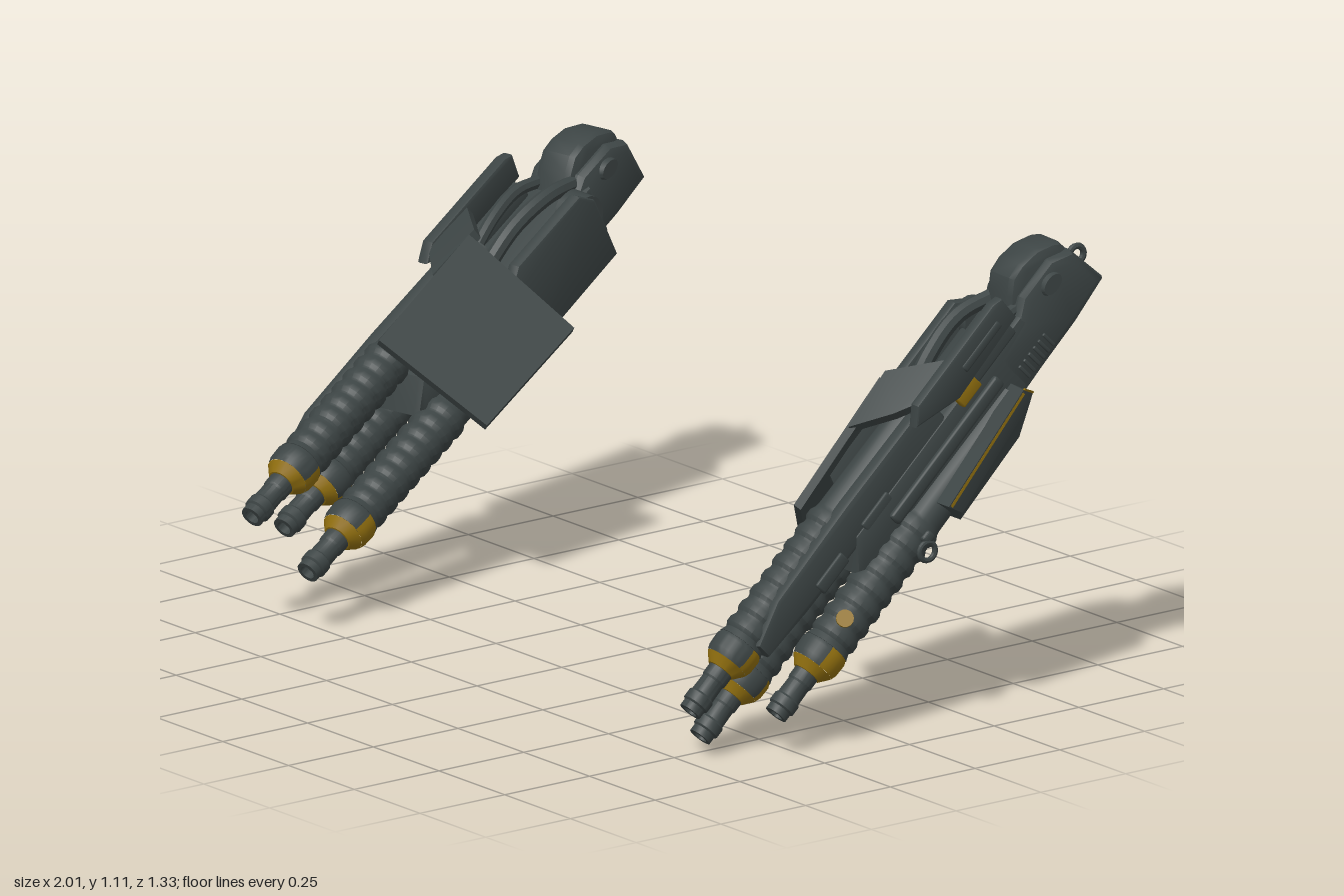
import * as THREE from 'three';
import { toCreasedNormals } from 'three/addons/utils/BufferGeometryUtils.js';
import { RoundedBoxGeometry } from 'three/addons/geometries/RoundedBoxGeometry.js';
import { ConvexGeometry } from 'three/addons/geometries/ConvexGeometry.js';

const mat = (name, color) => {
  const m = new THREE.MeshStandardMaterial({ color });
  m.name = name;
  return m;
};

// Geometry helpers; local axes: x outward, y up, z towards the muzzle
const lathe = (pts, x, y, z, phi = 0, arc = Math.PI * 2) =>
  new THREE.LatheGeometry(pts.map(([r, h]) => new THREE.Vector2(r, h)), 18, phi, arc)
    .rotateX(Math.PI / 2).translate(x, y, z);
const hull = (pts) => new ConvexGeometry(pts.map((p) => new THREE.Vector3(...p)));
const box = (w, h, d, x, y, z, r = 0.008) => new RoundedBoxGeometry(w, h, d, 2, r).translate(x, y, z);
const slab = (pts, t) => hull([...pts, ...pts.map(([x, y, z]) => [x + t[0], y + t[1], z + t[2]])]);
const sideProfile = (pts, x0, x1, b) => {
  const shape = new THREE.Shape(pts.map(([z, y]) => new THREE.Vector2(z, y)));
  const g = new THREE.ExtrudeGeometry(shape, {
    depth: x1 - x0 - 2 * b, bevelEnabled: true, bevelSize: b, bevelThickness: b, bevelOffset: -b, bevelSegments: 2,
  });
  return g.rotateY(-Math.PI / 2).translate(x1 - b, 0, 0);
};
const tube = (pts, r) =>
  new THREE.TubeGeometry(new THREE.CatmullRomCurve3(pts.map((p) => new THREE.Vector3(...p))), 20, r, 8);
const ring = (radius, r, x, y, z) => new THREE.TorusGeometry(radius, r, 8, 18).rotateY(Math.PI / 2).translate(x, y, z);

// Mirror across x and restore the face winding
function mirrorX(g) {
  g.scale(-1, 1, 1);
  for (const key of ['position', 'normal']) {
    const a = g.attributes[key].array;
    for (let i = 0; i < a.length; i += 9)
      for (let k = 0; k < 3; k++) [a[i + 3 + k], a[i + 6 + k]] = [a[i + 6 + k], a[i + 3 + k]];
  }
  return g;
}

function makeWeapon(side, metal, gold) {
  const group = new THREE.Group();
  const add = (name, geo, m = metal) => {
    const g = toCreasedNormals(geo, 0.6);
    g.deleteAttribute('uv');
    const mesh = new THREE.Mesh(side < 0 ? mirrorX(g) : g, m);
    mesh.name = name;
    group.add(mesh);
  };

  // Three ribbed barrels: gold nose and lower collar, metal upper collar, stepped muzzle.
  // The last number turns the gold half of the collar around the barrel axis.
  const barrels = [['topBarrel', 0, 0, 0, 0], ['innerBarrel', -0.11, -0.148, 0, -0.4], ['outerBarrel', 0.06, -0.16, -0.125, 0.4]];
  for (const [name, x, y, z, turn] of barrels) {
    const ribs = [[0.001, -0.95], [0.046, -0.94], [0.05, -0.58]];
    for (let i = 0; i < 8; i++) {
      const h = -0.57 + i * 0.045;
      ribs.push([0.052, h], [0.058, h + 0.012], [0.058, h + 0.028], [0.052, h + 0.038]);
    }
    ribs.push([0.058, -0.2], [0.001, -0.195]);
    add(name, lathe(ribs, x, y, z));
    const collar = [[0.056, -0.2], [0.06, -0.19], [0.059, -0.16], [0.054, -0.145]];
    add(name + 'LowerCollar', lathe(collar, x, y, z, turn - Math.PI / 2, Math.PI), gold);
    add(name + 'UpperCollar', lathe(collar, x, y, z, turn + Math.PI / 2, Math.PI));
    add(name + 'Nose', lathe([[0.054, -0.145], [0.035, -0.122], [0.001, -0.12]], x, y, z), gold);
    add(name + 'Muzzle', lathe([[0.001, -0.13], [0.031, -0.13], [0.031, -0.095], [0.028, -0.09], [0.029, -0.05],
      [0.033, -0.045], [0.033, -0.022], [0.028, -0.018], [0.028, 0], [0.018, 0], [0.018, -0.02], [0.001, -0.02]], x, y, z));
  }
  add('outerBarrelDot', new THREE.CylinderGeometry(0.021, 0.021, 0.009, 14).rotateZ(Math.PI / 2 - 5.6)
    .translate(0.06 + 0.045, -0.16 + 0.039, -0.395), gold);

  // Smooth shroud along the outer side of the top barrel
  add('topBarrelShroud', sideProfile([[-0.21, -0.045], [-0.21, 0.0], [-0.32, 0.035], [-0.6, 0.04], [-0.92, 0.035],
    [-0.92, -0.07], [-0.55, -0.06], [-0.35, -0.055]], 0.02, 0.067, 0.012));
  for (const z of [-0.46, -0.64])
    add('shroudClip', box(0.016, 0.035, 0.1, 0.066, -0.04, z, 0.005));

  // Central spine that ties the barrels to the rear housing
  add('spine', sideProfile([[-0.5, -0.1], [-0.56, -0.03], [-1.25, -0.03], [-1.25, -0.17], [-0.72, -0.19], [-0.58, -0.16]], -0.1, 0.075, 0.018));
  add('spineSideRail', box(0.02, 0.035, 0.42, 0.078, -0.085, -0.86));

  // Rear housing: wide lower body, narrower rounded crown
  add('rearHousing', sideProfile([[-1.425, -0.16], [-1.415, -0.04], [-1.36, -0.005], [-1.25, -0.005], [-1.2, -0.035],
    [-1.09, -0.05], [-1.09, -0.175], [-1.3, -0.172]], -0.09, 0.078, 0.024));
  add('housingCrown', sideProfile([[-1.42, -0.12], [-1.415, -0.015], [-1.4, 0.002], [-1.36, 0.026], [-1.31, 0.036],
    [-1.27, 0.032], [-1.235, 0.005], [-1.2, -0.03], [-1.2, -0.12]], -0.06, 0.05, 0.02));
  for (const s of [-1, 1]) {
    add('housingPivot', new THREE.CylinderGeometry(0.024, 0.028, 0.014, 18).rotateZ(-s * Math.PI / 2)
      .scale(1, 0.8, 1.2).translate(s > 0 ? 0.08 : -0.092, -0.04, -1.32));
    for (let i = 0; i < 6; i++)
      add('grillRib', box(0.012, 0.045, 0.009, s > 0 ? 0.077 : -0.09, -0.13, -1.125 - i * 0.019, 0.003));
  }
  add('innerDrum', new THREE.CylinderGeometry(0.05, 0.056, 0.06, 20).rotateZ(Math.PI / 2).translate(-0.1, -0.06, -1.18));
  add('rearRing', ring(0.02, 0.008, 0, -0.105, -1.432));
  add('slingRing', ring(0.022, 0.007, 0.12, -0.185, -0.645));
  add('slingRingMount', box(0.06, 0.03, 0.03, 0.095, -0.165, -0.67));

  // Smooth fairing on the lower outer flank, with thin gold seams tucked under its edge
  add('lowerFairing', hull([
    [0.13, -0.122, -1.08], [0.148, -0.138, -0.75], [0.122, -0.165, -1.07], [0.14, -0.185, -0.765],
    [0.09, -0.178, -1.1], [0.1, -0.215, -1.0], [0.1, -0.222, -0.76],
    [-0.06, -0.12, -1.09], [-0.07, -0.12, -0.74], [-0.05, -0.19, -1.05], [-0.05, -0.205, -0.75],
  ]));
  add('fairingSideSeam', slab([[0.13, -0.125, -1.075], [0.148, -0.141, -0.755], [0.1475, -0.149, -0.755], [0.1295, -0.133, -1.075]], [-0.006, 0, 0]), gold);
  add('fairingRearSeam', slab([[0.128, -0.126, -1.078], [0.128, -0.126, -1.086], [0.09, -0.179, -1.105], [0.09, -0.179, -1.096]], [-0.007, 0, 0]), gold);

  // Large slanted shield on the inner side with its arm and mount
  add('innerShield', slab([[-0.04, 0.11, -0.9], [-0.03, 0.095, -0.535], [-0.256, -0.132, -0.55], [-0.27, -0.124, -0.895]], [0.012, -0.016, 0]));
  add('shieldArm', slab([[-0.04, 0.108, -0.92], [-0.03, 0.103, -0.76], [0.05, 0.08, -0.84], [0.098, 0.055, -0.92], [0.098, 0.055, -1.04]], [-0.01, -0.025, 0]));
  add('shieldMount', hull([[-0.08, 0.03, -0.86], [-0.08, 0.03, -0.66], [-0.17, -0.055, -0.66], [-0.17, -0.055, -0.86],
    [-0.06, -0.03, -0.92], [-0.06, -0.03, -0.63], [-0.08, -0.11, -0.63], [-0.08, -0.11, -0.92]]));

  // Upright outer cheek panel with a recessed rail and a gold block tucked beneath
  add('outerCheekPanel', sideProfile([[-1.2, 0], [-1.205, 0.065], [-1.18, 0.074], [-0.88, 0.074], [-0.84, 0.04], [-0.965, -0.01]], 0.071, 0.103, 0.006));
  add('outerCheekRib', box(0.012, 0.022, 0.14, 0.1, 0.03, -1.09, 0.005));
  add('outerCheekFoot', box(0.04, 0.05, 0.2, 0.061, -0.02, -1.08));
  add('outerCheekBlock', box(0.022, 0.04, 0.07, 0.078, -0.028, -0.995, 0.004), gold);

  // Deeper inner cheek panel with a gold block on its underside
  add('innerCheekPanel', sideProfile([[-1.21, -0.2], [-1.21, -0.03], [-1.17, 0.015], [-0.92, 0.015], [-0.85, -0.04], [-0.84, -0.17], [-0.88, -0.205]], -0.14, -0.105, 0.008));
  add('innerCheekFoot', box(0.05, 0.1, 0.26, -0.09, -0.1, -1.03));
  add('innerCheekBlock', box(0.04, 0.03, 0.075, -0.09, -0.185, -1.0, 0.005), gold);

  // Hoses in the open top bay
  add('innerHose', tube([[-0.05, -0.03, -1.25], [-0.06, 0.02, -1.14], [-0.05, 0.025, -1.02], [-0.04, -0.01, -0.88]], 0.02));
  add('outerHose', tube([[0.04, -0.03, -1.23], [0.045, 0.005, -1.15], [0.035, 0.015, -1.05], [0.02, -0.01, -0.9]], 0.016));
  return group;
}

// Place a weapon with its top muzzle at a point, aimed along a direction
function aim(group, muzzle, direction) {
  const z = new THREE.Vector3(...direction).normalize();
  const x = new THREE.Vector3(0, 1, 0).cross(z).normalize();
  const y = z.clone().cross(x);
  group.quaternion.setFromRotationMatrix(new THREE.Matrix4().makeBasis(x, y, z));
  group.position.set(...muzzle);
}

export function createModel() {
  const metal = mat('dark metal', 0x3c4444);
  const gold = mat('worn gold', 0x92700f);
  const model = new THREE.Group();
  model.name = 'pairedWeapons';

  const left = makeWeapon(1, metal, gold);
  left.name = 'leftWeapon';
  aim(left, [0.81, 0.125, 0.5], [-0.04, -0.7, 0.71]);

  const right = makeWeapon(-1, metal, gold);
  right.name = 'rightWeapon';
  aim(right, [-0.67, 0.28, 0.645], [0.18, -0.48, 0.855]);

  model.add(left, right);
  return model;
}
